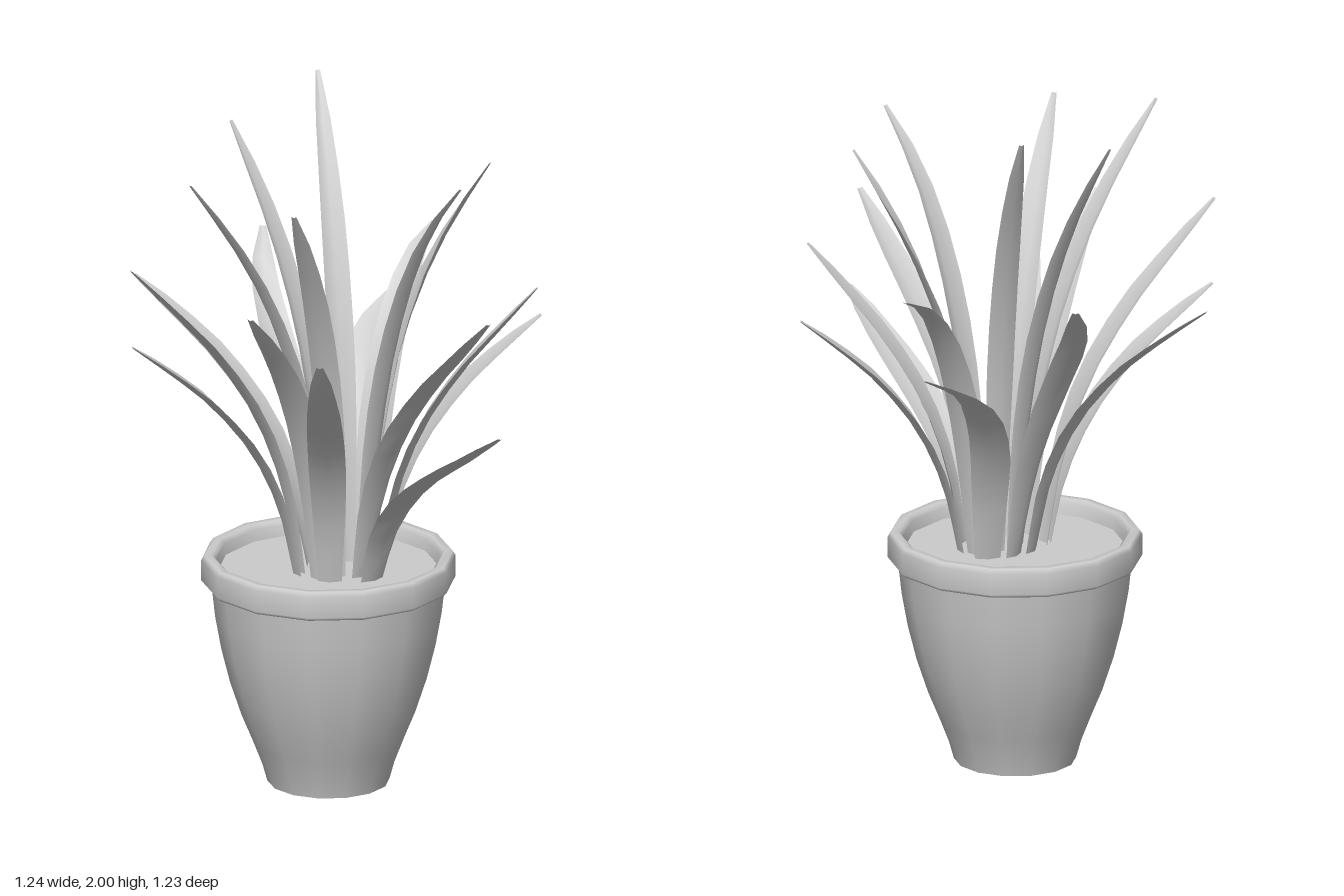
import * as THREE from 'three';

const SIDES = 14;
const POT_X = -0.01, POT_Z = -0.085;      // pot axis
const SOIL_Y = 0.64;

const solid = new THREE.MeshStandardMaterial({ color: 0xcccccc });
const thin = new THREE.MeshStandardMaterial({ color: 0xcccccc, side: THREE.DoubleSide });

// Leaves: base x, z; tip x, y, z; sideways bend; arch
const LEAVES = [
  [0.055, -0.12, 0.085, 2.0, -0.52, 0, 0],
  [0.0, -0.105, -0.215, 1.92, -0.385, 0, 0],
  [-0.03, -0.055, -0.475, 1.9, 0.085, 0, 0],
  [0.075, -0.015, 0.28, 1.88, 0.28, 0, 0.04],
  [-0.01, -0.01, -0.235, 1.86, 0.328, 0, 0],
  [0.095, -0.07, 0.45, 1.85, -0.005, -0.045, 0],
  [-0.095, -0.085, -0.62, 1.62, -0.02, 0, -0.02],
  [-0.06, 0.005, -0.365, 1.56, 0.327, 0, 0],
  [0.06, 0.01, 0.29, 1.55, 0.53, 0, -0.04],
  [0.115, -0.135, 0.415, 1.53, -0.455, 0, 0.09],
  [0.13, -0.035, 0.54, 1.52, 0.17, 0, -0.03],
  [0.015, -0.17, -0.05, 1.51, -0.615, -0.065, 0],
  [-0.04, 0.03, -0.22, 1.47, 0.54, 0, -0.07],
  [-0.045, -0.14, -0.47, 1.44, -0.495, 0, 0],
  [-0.11, -0.07, -0.605, 1.375, -0.055, 0, 0],
  [0.15, -0.08, 0.617, 1.36, -0.05, 0, 0],
  [0.095, -0.175, 0.39, 1.33, -0.575, -0.075, 0.03],
  [0.08, 0.05, 0.3, 1.23, 0.615, 0, -0.06],
];

// Shared leaf path: [height fraction, outward fraction]
const PATH = [[0, 0], [0.3, 0.1], [0.54, 0.27], [0.75, 0.53], [0.88, 0.76], [1, 1]];
// Width fraction along the leaf, base to tip
const WIDTHS = [0.62, 0.74, 0.85, 0.94, 1, 1, 0.97, 0.9, 0.76, 0.56, 0.18];

function leafGeometry([baseX, baseZ, x, y, z, bend, arch]) {
  const base = new THREE.Vector3(baseX, SOIL_Y - 0.02, baseZ);
  const tip = new THREE.Vector3(x, y, z);
  const side = new THREE.Vector3(baseZ - z, 0, x - baseX).normalize();
  const fullWidth = THREE.MathUtils.mapLinear(y, 1.3, 2, 0.117, 0.077);

  const curve = new THREE.CatmullRomCurve3(PATH.map(([h, r]) => {
    const hump = 4 * r * (1 - r);
    const p = base.clone().lerp(tip, r).addScaledVector(side, bend * hump);
    p.y = THREE.MathUtils.lerp(base.y, tip.y, h + arch * hump);
    return p;
  }));

  // Shallow gutter-shaped cross-sections, three points each
  const positions = [], index = [], n = WIDTHS.length - 1;
  WIDTHS.forEach((w, i) => {
    const p = curve.getPointAt(i / n), t = curve.getTangentAt(i / n);
    const across = new THREE.Vector3(-t.z, 0, t.x).normalize();
    const up = new THREE.Vector3().crossVectors(t, across).normalize();
    if (up.y < 0) up.negate();
    for (const k of [-1, 0, 1]) {
      const q = p.clone().addScaledVector(across, k * w * fullWidth / 2)
        .addScaledVector(up, (Math.abs(k) - 0.5) * w * 0.018);
      positions.push(q.x, q.y, q.z);
    }
    if (i === n) return;
    for (let k = 0; k < 2; k++) {
      const a = i * 3 + k, b = a + 3;
      index.push(a, a + 1, b, a + 1, b + 1, b);
    }
  });
  const g = new THREE.BufferGeometry();
  g.setAttribute('position', new THREE.Float32BufferAttribute(positions, 3));
  g.setIndex(index);
  g.computeVertexNormals();
  return g;
}

function lathe(points) {
  return new THREE.LatheGeometry(points.map(p => new THREE.Vector2(...p)), SIDES);
}

// Horizontal disc whose corners line up with the lathed parts
function disc(radius, y, facing) {
  const g = new THREE.CircleGeometry(radius, SIDES);
  g.rotateX(-facing * Math.PI / 2).rotateY(Math.PI / 2).translate(0, y, 0);
  return g;
}

export function createModel() {
  const model = new THREE.Group();
  model.name = 'pottedPlant';
  const add = (parent, name, geometry, material) => {
    const mesh = new THREE.Mesh(geometry, material);
    mesh.name = name;
    parent.add(mesh);
  };

  // Pot
  const pot = new THREE.Group();
  pot.name = 'pot';
  pot.position.set(POT_X, 0, POT_Z);
  model.add(pot);
  add(pot, 'potWall', lathe([
    [0.176, 0], [0.19, 0.05], [0.217, 0.12], [0.25, 0.2], [0.283, 0.3],
    [0.308, 0.4], [0.326, 0.5], [0.338, 0.61],
  ]), solid);
  add(pot, 'potBase', disc(0.176, 0, -1), solid);
  add(pot, 'potRim', lathe([
    [0.333, 0.6], [0.357, 0.6], [0.366, 0.61], [0.366, 0.672], [0.357, 0.686],
    [0.335, 0.686], [0.322, 0.672], [0.316, 0.63],
  ]), thin);
  add(pot, 'soil', disc(0.322, SOIL_Y, 1), solid);

  // Leaves
  const leaves = new THREE.Group();
  leaves.name = 'leaves';
  model.add(leaves);
  LEAVES.forEach((leaf, i) => add(leaves, `leaf${i + 1}`, leafGeometry(leaf), thin));

  return model;
}
